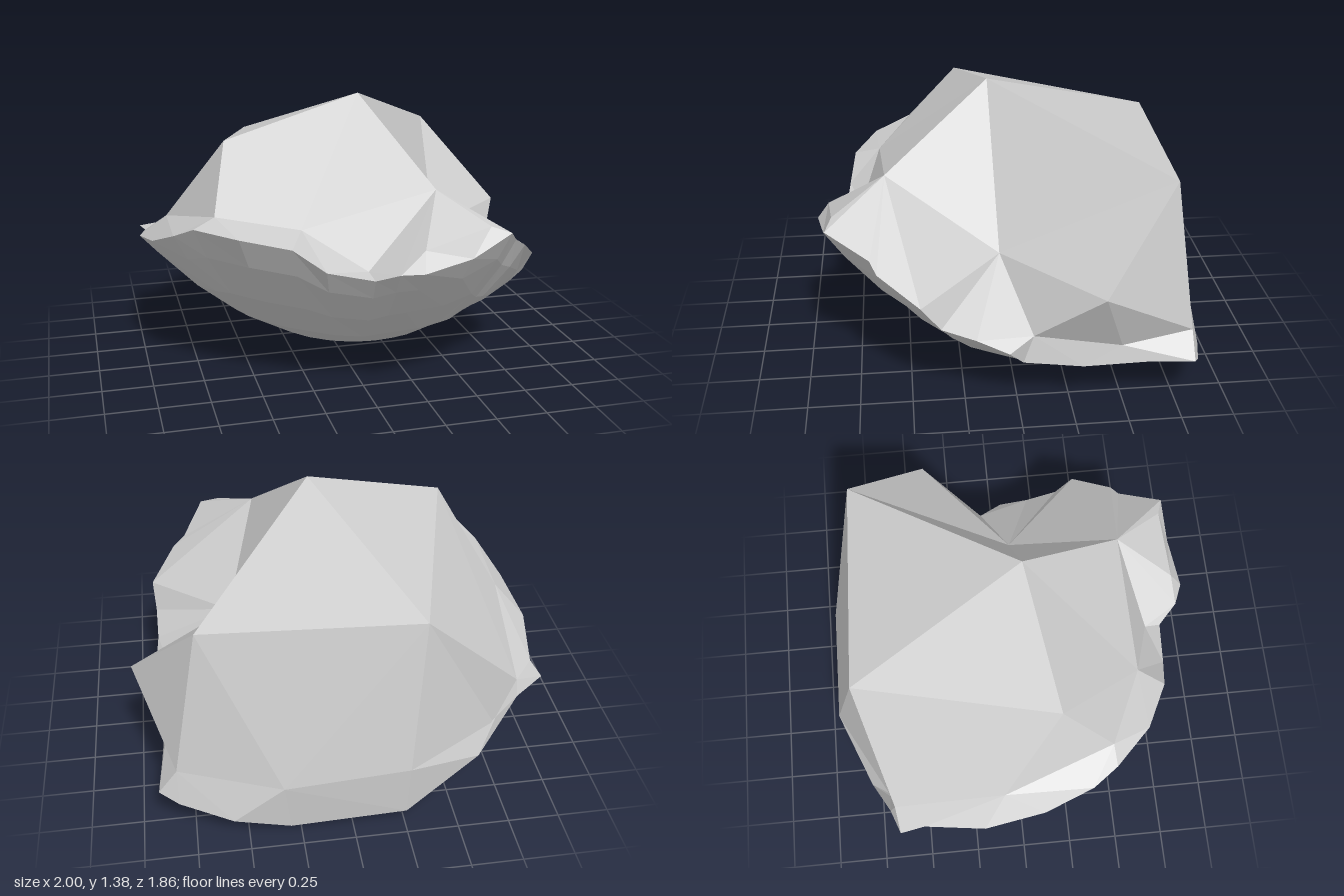
import * as THREE from 'three';

const CENTRE = new THREE.Vector3(0, 0.4, -0.1);

// Flat-shaded shell from triangles, each turned to face away from the centre
function shell(name, triangles) {
  const points = [];
  for (const [a, b, c] of triangles) {
    const normal = b.clone().sub(a).cross(c.clone().sub(a));
    const outward = normal.dot(a.clone().add(b).add(c).divideScalar(3).sub(CENTRE)) >= 0;
    points.push(...(outward ? [a, b, c] : [a, c, b]));
  }
  const geometry = new THREE.BufferGeometry().setFromPoints(points);
  geometry.computeVertexNormals();
  const material = new THREE.MeshStandardMaterial({
    color: 0xcccccc, flatShading: true, side: THREE.DoubleSide,
  });
  const mesh = new THREE.Mesh(geometry, material);
  mesh.name = name;
  return mesh;
}

const vec = (p) => new THREE.Vector3(...p);

// Ragged rim where the rounded underside meets the broken top
const rim = [
  [-1, 0.64, -0.2], [-0.96, 0.7, 0.1], [-0.88, 0.79, 0.34], [-0.8, 0.85, 0.46],
  [-0.62, 0.84, 0.64], [-0.4, 0.81, 0.75], [-0.25, 0.7, 0.78], [-0.03, 0.65, 0.8],
  [0.06, 0.7, 0.89], [0.16, 0.71, 0.93], [0.4, 0.75, 0.89], [0.59, 0.85, 0.87],
  [0.7, 0.75, 0.67], [0.76, 0.71, 0.64], [0.89, 0.6, 0.45], [0.88, 0.48, 0.36],
  [0.88, 0.41, 0.2], [0.9, 0.34, 0.05], [0.84, 0.25, -0.02], [0.87, 0.23, -0.3],
  [0.89, 0.25, -0.6], [0.91, 0.25, -0.82], [0.82, 0.2, -0.86], [0.57, 0.12, -0.93],
  [0.3, 0.03, -0.91], [-0.26, 0.06, -0.92], [-0.64, 0.24, -0.78], [-0.84, 0.5, -0.67],
  [-0.97, 0.57, -0.62], [-0.95, 0.58, -0.5],
].map(vec);

// Corners of the broken upper facets
const corners = {
  A: [0.08, 1.38, 0.08], B: [-0.61, 1.2, 0.2], C: [0.32, 1, 0.59],
  D: [0.69, 1.08, -0.74], E: [-0.35, 1.06, -0.78], F: [1, 0.66, -0.37],
  G: [-0.87, 0.77, -0.09], H: [0.5, 0.65, 0.06], K: [0.82, 0.38, -0.07],
  L: [0.82, 0.37, -0.82], M: [0.33, 0.29, -0.93], N: [-0.27, 0.33, -0.93],
  P: [-0.73, 0.36, -0.68], Q: [-0.84, 0.58, -0.64], R: [-0.7, 0.9, 0.45],
  S: [-0.33, 0.86, 0.62], T: [-0.04, 0.67, 0.72], U: [0.5, 0.88, 0.84],
  V: [0.86, 0.33, -0.48], W: [0.18, 0.8, 0.87],
};

// Facet fans: first point joined to each following pair; numbers are rim points
const fans = [
  'A B S C H D E B', 'B E Q G R S', 'E Q P N M D', 'D M L F H', 'F L V K H',
  'C S T 8 W U 11 12 13 14 H', 'W 8 9 10 U', 'U 10 11', 'H 14 15 16 K',
  'K 16 17 18 19 V', 'V 19 20 21 L', 'L 21 22 23 M', 'M 23 24 25 N', 'N 25 26 P',
  'P 26 27 Q', 'Q 27 28 29 G', 'G 29 0 1 2 R', 'R 2 3 4 S', 'S 4 5 6 T', 'T 6 7 8',
];

function brokenTop() {
  const triangles = [];
  for (const fan of fans) {
    const p = fan.split(' ').map((k) => (corners[k] ? vec(corners[k]) : rim[+k]));
    for (let i = 1; i < p.length - 1; i++) triangles.push([p[0], p[i], p[i + 1]]);
  }
  return shell('brokenTop', triangles);
}

// Rounded underside: rings shrinking from the rim, easing into a smooth bowl
function roundedUnderside() {
  const bowl = (x, z) => 0.47 * (x - 0.15) ** 2 + 0.52 * Math.max(0, z + 0.24) ** 2;
  const ring = (s) => rim.map((p) => {
    const x = 0.15 + (p.x - 0.15) * s, z = -0.35 + (p.z + 0.35) * s;
    const y = bowl(x, z) + (p.y - bowl(p.x, p.z)) * s ** 6;
    return new THREE.Vector3(x, Math.max(0, y), z);
  });
  const rings = [1, 0.93, 0.8, 0.62, 0.42, 0.2, 0].map(ring);
  const triangles = [];
  for (let r = 0; r < rings.length - 1; r++) {
    const outer = rings[r], inner = rings[r + 1];
    for (let i = 0; i < rim.length; i++) {
      const j = (i + 1) % rim.length;
      triangles.push([outer[i], outer[j], inner[j]]);
      if (r < rings.length - 2) triangles.push([outer[i], inner[j], inner[i]]);
    }
  }
  return shell('roundedUnderside', triangles);
}

export function createModel() {
  const rock = new THREE.Group();
  rock.name = 'rockFragment';
  rock.add(roundedUnderside(), brokenTop());
  return rock;
}
